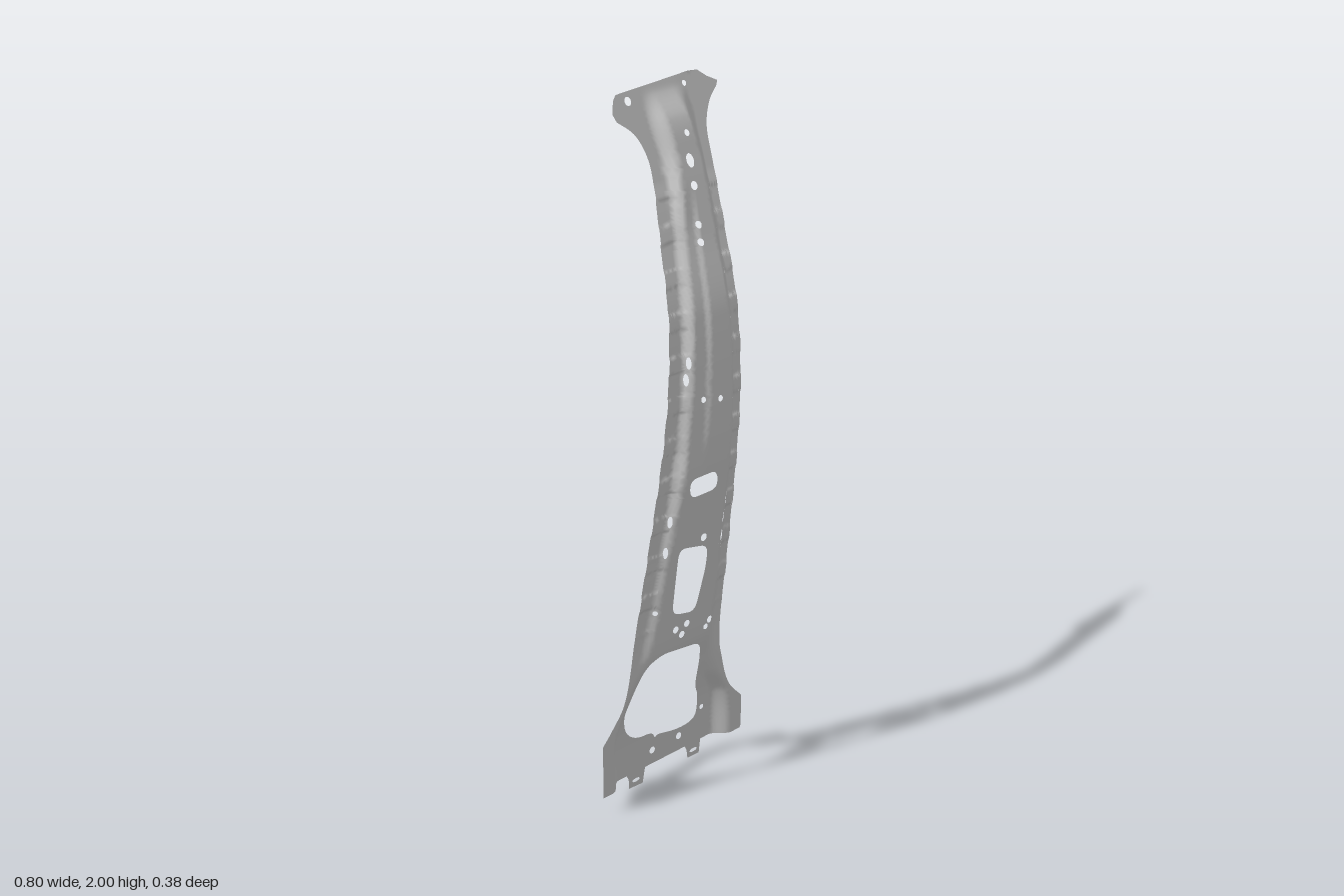
import * as THREE from 'three';

// Smooth curve through [y, value] pairs
function curve(...k) {
  const slope = i => {
    const a = k[Math.max(i - 1, 0)], b = k[Math.min(i + 1, k.length - 1)];
    return (b[1] - a[1]) / (b[0] - a[0]);
  };
  return y => {
    y = THREE.MathUtils.clamp(y, k[0][0], k[k.length - 1][0]);
    let i = 0;
    while (i < k.length - 2 && y > k[i + 1][0]) i++;
    const h = k[i + 1][0] - k[i][0], t = (y - k[i][0]) / h, s = 1 - t;
    return k[i][1] * (1 + 2 * t) * s * s + k[i + 1][1] * t * t * (3 - 2 * t)
      + h * (slope(i) * t * s * s - slope(i + 1) * t * t * s);
  };
}

// Depth of the side flanges and of the pressed centre channel
const flangeZ = curve([0, .18], [.2, .18], [.35, .177], [.45, .172], [.7, .165], [1, .153], [1.2, .13],
  [1.4, .08], [1.6, -.005], [1.8, -.098], [1.9, -.145], [1.97, -.178], [2, -.192]);
const floorZ = curve([0, .14], [.2, .142], [.35, .167], [.45, .185], [.7, .183], [1, .183], [1.2, .16],
  [1.4, .112], [1.6, .025], [1.8, -.062], [1.9, -.112], [1.965, -.172], [2, -.192]);
// Outer feet of the channel walls
const leftWall = curve([0, -.36], [.2, -.36], [.3, -.32], [.45, -.25], [.6, -.205], [1, -.1], [1.4, 0],
  [1.7, .08], [1.8, .095], [1.9, .095], [2, .1]);
const rightWall = curve([0, .13], [.2, .12], [.3, .075], [.45, .062], [.6, .085], [1, .14], [1.4, .2],
  [1.7, .25], [1.8, .265], [1.9, .275], [2, .28]);
const wallWidth = curve([0, .06], [.3, .05], [.6, .04], [1.7, .04], [1.85, .05], [2, .06]);

const smooth = THREE.MathUtils.smoothstep;
function depth(x, y) {
  const l = leftWall(y), r = rightWall(y), w = wallWidth(y);
  const channel = smooth(x, l, l + w) * (1 - smooth(x, r - w, r));
  // shallow second step along the channel floor
  const mid = l + (r - l) * .42;
  const step = -.007 * (1 - smooth(x, mid - .012, mid + .012)) * smooth(y, .95, 1.1) * (1 - smooth(y, 1.6, 1.75));
  // small joggles along the welding flanges
  const p = (y * 9) % 1;
  const joggle = .003 * smooth(p, .3, .36) * (1 - smooth(p, .7, .76)) * smooth(y, .5, .55) * (1 - smooth(y, 1.7, 1.75));
  const f = flangeZ(y) + joggle;
  return f + (floorZ(y) + step - f) * channel;
}

const vec = ([x, y]) => new THREE.Vector2(x, y);

// Closed polygon with rounded corners
function roundedLoop(points, radius) {
  const p = points.map(vec), n = p.length, path = new THREE.Path();
  p.forEach((c, i) => {
    const ends = [p[(i + n - 1) % n], p[(i + 1) % n]].map(q => {
      const d = q.clone().sub(c);
      return d.setLength(Math.min(radius, d.length() * .48)).add(c);
    });
    if (i) path.lineTo(ends[0].x, ends[0].y);
    else path.moveTo(ends[0].x, ends[0].y);
    path.quadraticCurveTo(c.x, c.y, ends[1].x, ends[1].y);
  });
  path.closePath();
  return path;
}

function ovalHole(x, y, rx, ry = rx, tilt = 0) {
  const path = new THREE.Path();
  path.absellipse(x, y, rx, ry, 0, Math.PI * 2, false, tilt);
  return path;
}

function panelShape() {
  const s = new THREE.Shape();
  const lines = pts => pts.forEach(([x, y]) => s.lineTo(x, y));
  // foot with its two tabs
  s.moveTo(-.4, .05);
  lines([[-.27, .05], [-.262, .035], [-.26, .003], [-.205, 0], [-.195, .05], [-.03, .05], [-.022, .035],
    [-.018, .005], [.03, .005], [.036, .05], [.165, .053], [.17, .06], [.17, .165]]);
  // right-hand edge
  s.splineThru([[.115, .23], [.088, .32], [.08, .43], [.125, .73], [.166, 1], [.22, 1.34], [.26, 1.59],
    [.29, 1.76], [.307, 1.85], [.345, 1.91], [.39, 1.945]].map(vec));
  // top flange
  lines([[.4, 1.958], [.365, 1.975], [.335, 1.997], [.3, 2], [.01, 1.985], [-.005, 1.972], [-.022, 1.94], [-.015, 1.918]]);
  // left-hand edge
  s.splineThru([[.035, 1.875], [.055, 1.81], [.045, 1.735], [.005, 1.59], [-.045, 1.39], [-.145, 1],
    [-.25, .57], [-.285, .41], [-.315, .32], [-.36, .262], [-.4, .22]].map(vec));
  s.closePath();

  // large openings
  s.holes.push(
    roundedLoop([[-.225, .415], [-.165, .435], [-.01, .415], [.003, .36], [.003, .25], [.022, .21], [.018, .14],
      [-.015, .125], [-.07, .125], [-.148, .142], [-.153, .13], [-.165, .157], [-.23, .16], [-.275, .195], [-.29, .26], [-.27, .33]], .03),
    roundedLoop([[-.098, .75], [.018, .725], [.01, .66], [-.038, .53], [-.13, .55]], .03),
    roundedLoop([[-.058, .952], [.052, .952], [.052, .895], [-.058, .895]], .028));
  // round fixing holes: x, y, radius
  for (const h of [[0, .755, .012], [-.115, .497, .011], [-.07, .502, .011], [-.09, .473, .011], [.025, .48, .011],
    [.008, .462, .009], [.02, 1.17, .009], [.08, 1.16, .009], [.195, 1.86, .009], [.165, 1.725, .012], [.142, 1.625, .01],
    [.132, 1.58, .01], [.047, 1.962, .012], [.272, 1.972, .008], [-.165, .095, .011], [-.055, .098, .011],
    [.04, .16, .008], [-.19, .575, .007]]) s.holes.push(ovalHole(...h));
  // oval locating hole and tab slots
  s.holes.push(ovalHole(.177, 1.79, .014, .019), ovalHole(-.232, .022, .015, .006), ovalHole(.006, .024, .015, .006));
  // slanted slots along both walls
  for (const [x, y] of [[-.145, .75], [-.125, .84], [-.025, 1.235], [-.01, 1.28], [.078, .735], [.085, .79],
    [.095, .845], [.15, 1.215], [.157, 1.255]]) s.holes.push(ovalHole(x, y, .006, .017, -.2));
  return s;
}

// Split every edge longer than the limit so the flat blank can be pressed
function refine(a, b, c, limit, out) {
  const ab = a.distanceTo(b), bc = b.distanceTo(c), ca = c.distanceTo(a);
  const longest = Math.max(ab, bc, ca);
  if (longest <= limit) return out.push(a, b, c);
  if (longest === bc) [a, b, c] = [b, c, a];
  else if (longest === ca) [a, b, c] = [c, a, b];
  const m = a.clone().add(b).multiplyScalar(.5);
  refine(a, m, c, limit, out);
  refine(m, b, c, limit, out);
}

export function createModel() {
  const flat = new THREE.ShapeGeometry(panelShape(), 8);
  const pos = flat.attributes.position, index = flat.index;
  const corners = [];
  for (let i = 0; i < index.count; i += 3) {
    const [a, b, c] = [0, 1, 2].map(k => new THREE.Vector2().fromBufferAttribute(pos, index.getX(i + k)));
    refine(a, b, c, .016, corners);
  }

  // Press the blank into its depth, with normals from the surface slope
  const points = [], normals = [], e = .002, n = new THREE.Vector3();
  for (const { x, y } of corners) {
    points.push(x, y, depth(x, y));
    n.set(depth(x - e, y) - depth(x + e, y), depth(x, y - e) - depth(x, y + e), 2 * e).normalize();
    normals.push(n.x, n.y, n.z);
  }
  const geometry = new THREE.BufferGeometry();
  geometry.setAttribute('position', new THREE.Float32BufferAttribute(points, 3));
  geometry.setAttribute('normal', new THREE.Float32BufferAttribute(normals, 3));

  const panel = new THREE.Mesh(geometry, new THREE.MeshStandardMaterial({ color: 0xcccccc, side: THREE.DoubleSide }));
  panel.name = 'pillarPanel';
  const group = new THREE.Group();
  group.name = 'pressedPillar';
  group.add(panel);
  return group;
}
